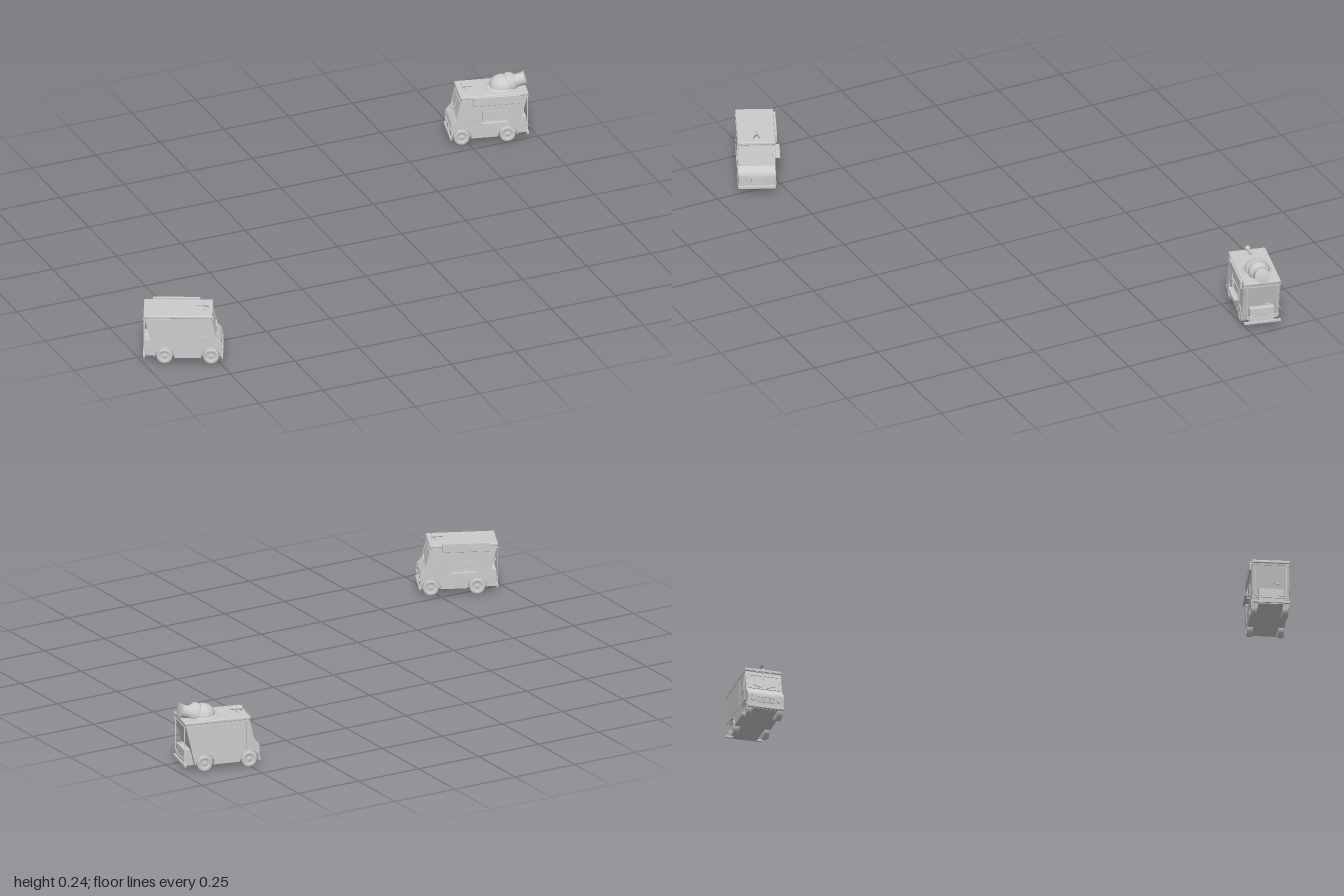
import * as THREE from 'three';
import { RoundedBoxGeometry } from 'three/addons/geometries/RoundedBoxGeometry.js';

const grey = new THREE.MeshStandardMaterial({ color: 0xcccccc });
const W = 0.134; // body width
const WHEEL_Z = [0.1, -0.066];

function add(parent, name, geometry, x = 0, y = 0, z = 0) {
  const mesh = new THREE.Mesh(geometry, grey);
  mesh.name = name;
  mesh.position.set(x, y, z);
  parent.add(mesh);
  return mesh;
}
const box = (parent, name, w, h, d, x, y, z) => add(parent, name, new THREE.BoxGeometry(w, h, d), x, y, z);

// Rectangular frame of four bars; lies in the XY plane
function frame(parent, name, w, h, bar, depth) {
  const g = new THREE.Group();
  g.name = name;
  for (const s of [-1, 1]) {
    box(g, name + 'Rail', w, bar, depth, 0, s * (h - bar) / 2, 0);
    box(g, name + 'Stile', bar, h - 2 * bar, depth, s * (w - bar) / 2, 0, 0);
  }
  parent.add(g);
  return g;
}

// Side profile (z, y) with wheel arches, extruded across the width
function bodyGeometry() {
  const s = new THREE.Shape();
  const a = Math.asin(0.2);
  s.moveTo(-0.139, 0.022);
  for (const z of [...WHEEL_Z].reverse()) s.absarc(z, 0.029, 0.035, Math.PI + a, -a, true);
  s.lineTo(0.138, 0.022);
  s.lineTo(0.139, 0.07);
  s.quadraticCurveTo(0.138, 0.083, 0.13, 0.09);
  s.lineTo(0.118, 0.103);
  s.lineTo(0.102, 0.172);
  s.lineTo(0.1, 0.184);
  s.lineTo(-0.139, 0.184);
  s.closePath();
  const b = 0.002;
  const g = new THREE.ExtrudeGeometry(s, {
    depth: W - 2 * b, bevelThickness: b, bevelSize: b, bevelOffset: -b, bevelSegments: 1, curveSegments: 14,
  });
  return g.translate(0, 0, b - W / 2).rotateY(-Math.PI / 2);
}

function makeWheel() {
  const g = new THREE.Group();
  g.name = 'wheel';
  const tyre = [[0.017, -0.011], [0.026, -0.011], [0.029, -0.008], [0.029, 0.008], [0.026, 0.011],
    [0.018, 0.011], [0.016, 0.007], [0.008, 0.007], [0.006, 0.01], [0, 0.01]];
  const t = add(g, 'tyreAndRim', new THREE.LatheGeometry(tyre.map(p => new THREE.Vector2(...p)), 24));
  t.rotation.z = -Math.PI / 2;
  const cap = add(g, 'wheelBack', new THREE.CylinderGeometry(0.018, 0.018, 0.002, 20), -0.01);
  cap.rotation.z = Math.PI / 2;
  return g;
}

function makeCab(truck) {
  // Windshield, following the slope of the cab front
  const shield = frame(truck, 'windshield', 0.122, 0.062, 0.004, 0.004);
  shield.position.set(0, 0.136, 0.1105);
  shield.rotation.x = -0.228;
  box(shield, 'windshieldPost', 0.003, 0.058, 0.004, 0, 0, 0);
  for (const s of [-1, 1]) {
    const wiper = box(shield, 'wiper', 0.03, 0.0015, 0.003, s * 0.025, -0.02, 0.002);
    wiper.rotation.z = s * 0.3;
  }
  // Nose: grille, headlights, bumper
  const grille = frame(truck, 'grille', 0.062, 0.022, 0.003, 0.004);
  grille.position.set(0, 0.056, 0.14);
  for (let i = -4; i <= 4; i++) box(grille, 'grilleBar', 0.002, 0.018, 0.003, i * 0.006, 0, 0);
  add(truck, 'frontBumper', new RoundedBoxGeometry(0.134, 0.012, 0.008, 2, 0.002), 0, 0.028, 0.139);
  for (const s of [-1, 1]) {
    const lamp = add(truck, 'headlight', new THREE.CylinderGeometry(0.0075, 0.0085, 0.005, 18), s * 0.048, 0.056, 0.14);
    lamp.rotation.x = Math.PI / 2;
    box(truck, 'turnSignal', 0.012, 0.004, 0.003, s * 0.048, 0.073, 0.139);
    // Cab door, its window and handle
    const door = frame(truck, 'cabDoor', 0.056, 0.105, 0.0015, 0.002);
    door.position.set(s * W / 2, 0.118, 0.063);
    door.rotation.y = Math.PI / 2;
    const glass = frame(truck, 'doorWindow', 0.045, 0.048, 0.003, 0.003);
    glass.position.set(s * W / 2, 0.131, 0.065);
    glass.rotation.y = Math.PI / 2;
    box(truck, 'doorHandle', 0.004, 0.003, 0.009, s * W / 2, 0.095, 0.042);
  }
  for (let i = -2; i <= 2; i++) box(truck, 'markerLight', 0.007, 0.004, 0.005, i * 0.024, 0.179, 0.103);
}

function makeRear(truck) {
  const back = frame(truck, 'rearDoor', 0.112, 0.13, 0.002, 0.003);
  back.position.set(0, 0.108, -0.139);
  box(truck, 'rearHandle', 0.018, 0.004, 0.004, -0.02, 0.1, -0.14);
  box(truck, 'rearBumper', 0.134, 0.008, 0.008, 0, 0.028, -0.139);
  for (const s of [-1, 1]) {
    box(truck, 'rearLamp', 0.026, 0.007, 0.004, s * 0.044, 0.052, -0.14);
    box(truck, 'rearMarker', 0.006, 0.004, 0.004, s * 0.058, 0.172, -0.14);
  }
}

function makeServiceSide(truck, signY) {
  // Hatch with a counter shelf on the left side
  const hatch = frame(truck, 'serviceHatch', 0.09, 0.04, 0.004, 0.006);
  hatch.position.set(W / 2, 0.107, -0.02);
  hatch.rotation.y = Math.PI / 2;
  box(truck, 'counter', 0.02, 0.004, 0.095, W / 2 + 0.01, 0.086, -0.018);
  for (const z of [-0.05, 0.014]) box(truck, 'counterBracket', 0.012, 0.006, 0.003, W / 2 + 0.006, 0.081, z);
  // Long signboard along the roof edge
  add(truck, 'signboard', new RoundedBoxGeometry(0.009, 0.034, 0.17, 2, 0.002), W / 2 + 0.003, signY, -0.025);
}

function makeSpeaker(truck) {
  const g = new THREE.Group();
  g.name = 'loudspeaker';
  g.position.set(0, 0.19, 0.075);
  box(g, 'speakerBase', 0.034, 0.004, 0.008, 0, 0.002, 0);
  box(g, 'speakerPost', 0.004, 0.012, 0.004, 0, 0.008, 0);
  const bell = [[0, -0.024], [0.005, -0.024], [0.005, -0.012], [0.003, -0.01], [0.004, 0.002], [0.0105, 0.016], [0.009, 0.016], [0, 0.002]];
  const horn = add(g, 'horn', new THREE.LatheGeometry(bell.map(p => new THREE.Vector2(...p)), 16), 0, 0.013, 0);
  horn.rotation.x = Math.PI / 2;
  truck.add(g);
}

// Toppled cone on the roof: melted puddle, scoop and wafer cup
function makeCone(truck) {
  const g = new THREE.Group();
  g.name = 'roofCone';
  const puddle = add(g, 'meltedPuddle', new THREE.SphereGeometry(0.056, 28, 12), 0, 0.19, -0.052);
  puddle.scale.y = 0.2;
  const scoop = add(g, 'scoop', new THREE.SphereGeometry(0.047, 28, 18), 0, 0.192, -0.056);
  scoop.scale.y = 0.9;
  const cup = [[0, -0.01], [0.034, -0.01], [0.039, 0], [0.038, 0.014], [0.03, 0.026], [0.0235, 0.03], [0.0235, 0.056], [0.027, 0.06], [0.027, 0.066], [0, 0.066]];
  const wafer = add(g, 'waferCup', new THREE.LatheGeometry(cup.map(p => new THREE.Vector2(...p)), 24), 0, 0.2, -0.078);
  wafer.rotation.x = -Math.PI / 2 + 0.25;
  truck.add(g);
}

// Van facing +z
function makeTruck(name, signY) {
  const truck = new THREE.Group();
  truck.name = name;
  add(truck, 'body', bodyGeometry());
  box(truck, 'underfloor', 0.088, 0.06, 0.272, 0, 0.051, -0.001);
  add(truck, 'roof', new RoundedBoxGeometry(0.136, 0.012, 0.247, 2, 0.004), 0, 0.185, -0.018);
  for (const s of [-1, 1]) {
    box(truck, 'gutter', 0.003, 0.003, 0.24, s * W / 2, 0.175, -0.019);
    box(truck, 'sideTrim', 0.002, 0.003, 0.17, s * W / 2, 0.07, -0.05);
    for (const z of WHEEL_Z) {
      const wheel = makeWheel();
      wheel.position.set(s * 0.056, 0.029, z);
      wheel.rotation.y = s < 0 ? Math.PI : 0;
      truck.add(wheel);
      const lip = add(truck, 'wheelArchLip', new THREE.TorusGeometry(0.0355, 0.002, 6, 20, Math.PI), s * W / 2, 0.029, z);
      lip.rotation.y = Math.PI / 2;
    }
    for (const z of [-0.13, -0.03]) box(truck, 'sideMarker', 0.003, 0.004, 0.007, s * W / 2, 0.165, z);
  }
  makeCab(truck);
  makeRear(truck);
  makeServiceSide(truck, signY);
  makeSpeaker(truck);
  return truck;
}

export function createModel() {
  const model = new THREE.Group();
  model.name = 'twoFoodTrucks';

  const plain = makeTruck('plainTruck', 0.18);
  plain.position.set(-0.845, 0, 0.55);
  plain.rotation.y = 1.136;

  const coneTruck = makeTruck('coneTruck', 0.17);
  makeCone(coneTruck);
  coneTruck.position.set(0.837, 0, -0.583);
  coneTruck.rotation.y = -1.814;

  model.add(plain, coneTruck);
  return model;
}
